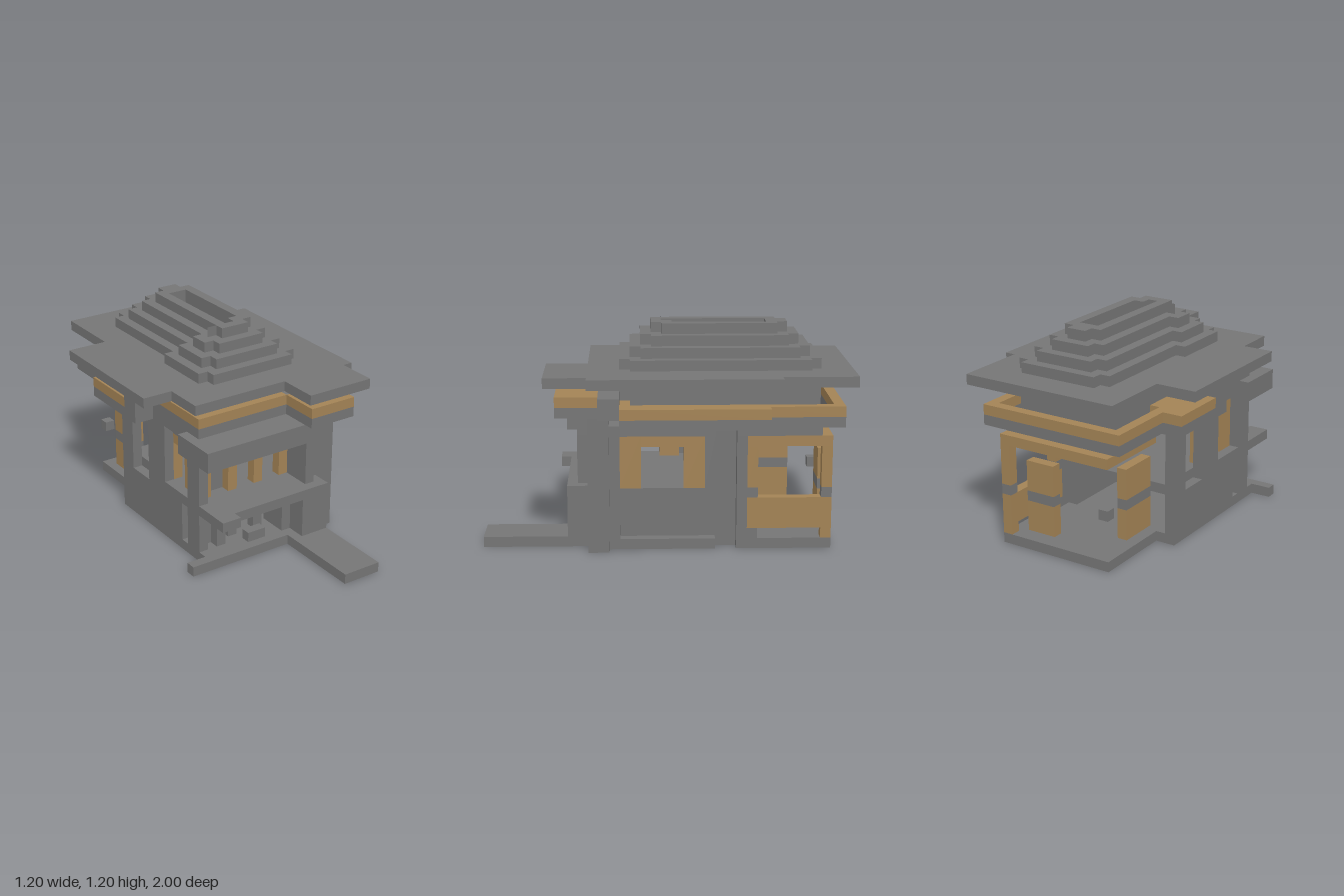
import * as THREE from 'three';

// Block grid: 21 wide (x), 21 high (y), 35 deep (z, back to front)
const U = 2 / 35;
const stone = new THREE.MeshStandardMaterial({ color: 0x757575 });
stone.name = 'stone grey';
const timber = new THREE.MeshStandardMaterial({ color: 0xa38355 });
timber.name = 'timber brown';

function part(parent, name) {
  const g = new THREE.Group();
  g.name = name;
  parent.add(g);
  return g;
}

// Box given by its grid limits
function box(g, name, mat, x0, x1, y0, y1, z0, z1) {
  const m = new THREE.Mesh(new THREE.BoxGeometry((x1 - x0) * U, (y1 - y0) * U, (z1 - z0) * U), mat);
  m.name = name;
  m.position.set(((x0 + x1) / 2 - 10.5) * U, ((y0 + y1) / 2) * U, ((z0 + z1) / 2 - 17.5) * U);
  g.add(m);
}

// Flat layer from a plan outline, with an optional hole (both listed clockwise from above)
function layer(g, name, mat, pts, y0, y1, hole) {
  const v = ([x, z]) => new THREE.Vector2((x - 10.5) * U, (17.5 - z) * U);
  const s = new THREE.Shape(pts.map(v));
  if (hole) s.holes.push(new THREE.Path(hole.map(v).reverse()));
  const geo = new THREE.ExtrudeGeometry(s, { depth: (y1 - y0) * U, bevelEnabled: false });
  geo.rotateX(-Math.PI / 2);
  const m = new THREE.Mesh(geo, mat);
  m.name = name;
  m.position.y = y0 * U;
  g.add(m);
}

const rect = (x0, x1, z0, z1) => [[x0, z0], [x1, z0], [x1, z1], [x0, z1]];

// Notched outline of the crown, shrunk by m blocks
const crown = (m) => [[8 + m, 3 + m], [16 - m, 3 + m], [16 - m, 4 + m], [17 - m, 4 + m],
  [17 - m, 21 - m], [16 - m, 21 - m], [16 - m, 22 - m], [7 + m, 22 - m], [7 + m, 21 - m],
  [6 + m, 21 - m], [6 + m, 15 + m], [7 + m, 15 + m], [7 + m, 4 + m], [8 + m, 4 + m]];

// Timber piece with a stone band at sill height
function banded(g, name, x0, x1, y0, y1, z0, z1) {
  box(g, name, timber, x0, x1, y0, 5, z0, z1);
  box(g, name + 'Band', stone, x0, x1, 5, 6, z0, z1);
  box(g, name + 'Upper', timber, x0, x1, 6, y1, z0, z1);
}

export function createModel() {
  const model = new THREE.Group();
  model.name = 'house';

  // Ground slab and front path
  const base = part(model, 'base');
  layer(base, 'floor', stone, [[6, 2], [18, 2], [18, 11], [17, 11], [17, 13], [18, 13], [18, 23], [19, 23],
    [19, 25], [17, 25], [17, 35], [13, 35], [13, 26], [2, 26], [2, 25], [4, 25], [4, 10], [6, 10]], 0, 1);

  // Left wall with a tall slot, a doorway and an upper opening
  const left = part(model, 'leftWall');
  box(left, 'rearWall', stone, 4, 5, 1, 12, 10, 12);
  box(left, 'slotSill', stone, 4, 5, 1, 5, 12, 15);
  box(left, 'slotLintel', stone, 4, 5, 11, 12, 12, 15);
  box(left, 'middleWall', stone, 4, 5, 1, 12, 15, 18);
  box(left, 'lowerWall', stone, 4, 5, 1, 5, 18, 21);
  box(left, 'frontPost', stone, 4, 5, 1, 5, 22, 24);
  box(left, 'upperPost', stone, 4, 5, 6, 11, 22, 24);
  box(left, 'windowJambRear', timber, 5, 6, 6, 10, 16, 18);
  box(left, 'windowJambFront', timber, 5, 6, 6, 10, 20, 23);
  box(left, 'windowHead', timber, 5, 6, 10, 11, 16, 23);

  // Right wall: recessed panel, ledge, framed window and pillars
  const right = part(model, 'rightWall');
  box(right, 'lowerPanel', stone, 16, 17, 1, 5, 13, 22);
  box(right, 'ledge', stone, 17, 18, 5, 6, 13, 22);
  box(right, 'frontJamb', stone, 17, 18, 1, 12, 22, 23);
  box(right, 'windowJambRear', timber, 17, 18, 6, 11, 14, 16);
  box(right, 'windowJambFront', timber, 17, 18, 6, 11, 20, 22);
  box(right, 'windowHead', timber, 17, 18, 10, 11, 16, 20);
  box(right, 'windowSidePost', stone, 17, 18, 6, 11, 13, 14);
  box(right, 'recessedWall', stone, 16, 17, 1, 12, 11, 13);
  box(right, 'rearJamb', stone, 17, 18, 1, 11, 10, 11);
  box(right, 'cornerTower', stone, 17, 19, 1, 13, 23, 25);

  // Front wall, lower floor
  const front = part(model, 'frontWall');
  for (const x of [5, 8, 11]) box(front, 'lowerPost', stone, x, x + 1, 1, 5, 22, 23);
  box(front, 'shortPost', stone, 6, 7, 1, 4, 23, 24);
  box(front, 'shortLintel', stone, 6, 7, 4, 5, 21, 22);
  box(front, 'lowWall', stone, 9, 11, 1, 2, 24, 25);
  box(front, 'lowerWall', stone, 13, 17, 1, 5, 22, 25);
  box(front, 'entranceBlock', stone, 14, 17, 1, 5, 25, 27);

  // Front wall, upper floor
  for (const x of [8, 11, 14]) box(front, 'upperPost', timber, x, x + 1, 6, x === 8 ? 10 : 11, 22, 23);
  box(front, 'leftHead', timber, 6, 9, 10, 11, 22, 23);
  box(front, 'shutter', stone, 6, 8, 6, 10, 21, 22);
  box(front, 'middleHead', stone, 9, 11, 10, 11, 22, 23);
  box(front, 'rightHead', stone, 12, 14, 10, 11, 22, 23);
  box(front, 'upperColumn', stone, 15, 17, 7, 11, 23, 26);
  box(front, 'columnFoot', stone, 15, 16, 6, 7, 23, 26);
  box(front, 'columnFootSide', stone, 16, 17, 6, 7, 23, 25);

  // Upper floor and balcony with a bump at its left corner
  const balcony = part(model, 'upperFloor');
  layer(balcony, 'upperFloorSlab', stone, [[5, 10], [17, 10], [17, 27], [6, 27], [6, 28], [4, 28], [4, 18], [5, 18]], 5, 6);

  // Rear veranda
  const veranda = part(model, 'veranda');
  box(veranda, 'cornerPostFoot', timber, 17, 18, 1, 2, 2, 3);
  banded(veranda, 'cornerPost', 17, 18, 2, 10, 2, 3);
  box(veranda, 'sidePanel', timber, 17, 18, 2, 5, 3, 10);
  box(veranda, 'sidePostFoot', stone, 17, 18, 1, 2, 9, 10);
  box(veranda, 'sidePostBand', stone, 17, 18, 5, 6, 9, 10);
  box(veranda, 'sidePost', timber, 17, 18, 6, 10, 9, 10);
  banded(veranda, 'rearPanel', 12, 15, 2, 9, 2, 3);
  banded(veranda, 'leftPanel', 6, 7, 2, 9, 5, 9);
  box(veranda, 'looseBlock', stone, 6, 7, 5, 6, 2, 3);
  box(veranda, 'rearBeam', timber, 6, 18, 10, 11, 2, 3);
  for (const x of [6, 17]) box(veranda, 'sideBeam', timber, x, x + 1, 10, 11, 3, 10);

  // Eaves: an open ring, stone below and timber above
  const eaves = part(model, 'eaves');
  layer(eaves, 'wallBeam', stone, [[6, 3], [18, 3], [18, 11], [17, 11], [17, 13], [18, 13], [18, 23], [5, 23],
    [5, 10], [6, 10]], 11, 12, rect(8, 16, 5, 21));
  const ring = [[4, 1], [19, 1], [19, 8], [20, 8], [20, 22], [5, 22], [5, 14], [2, 14], [2, 8], [4, 8]];
  const opening = [[5, 2], [18, 2], [18, 21], [6, 21], [6, 9], [5, 9]];
  layer(eaves, 'lowerEave', stone, ring, 12, 13, opening);
  layer(eaves, 'upperEave', timber, ring, 13, 14, opening);
  box(eaves, 'leftEaveEnd', stone, 2, 4, 12, 15, 14, 16);
  box(eaves, 'rightEaveEnd', stone, 19, 20, 13, 15, 22, 24);
  box(eaves, 'leftBandBase', stone, 4, 5, 12, 14, 14, 22);
  box(eaves, 'leftBand', timber, 4, 5, 14, 15, 14, 22);
  box(eaves, 'porchRoof', stone, 3, 15, 11, 13, 22, 27);
  box(eaves, 'porchRoofRight', stone, 15, 17, 11, 13, 23, 26);
  box(eaves, 'frontBandBase', stone, 4, 14, 13, 14, 22, 24);
  box(eaves, 'frontBand', timber, 4, 14, 14, 15, 22, 24);
  box(eaves, 'entranceBandBase', stone, 14, 19, 13, 14, 22, 28);
  box(eaves, 'entranceBand', timber, 14, 19, 14, 15, 24, 28);
  box(eaves, 'entranceBandRear', stone, 14, 19, 14, 15, 22, 24);

  // Attic, wide roof slab and stepped crown with an open top
  const roof = part(model, 'roof');
  layer(roof, 'attic', stone, crown(0), 12, 16, rect(8, 15, 5, 20));
  layer(roof, 'roofSlab', stone, [[4, 0], [20, 0], [20, 7], [21, 7], [21, 25], [20, 25], [20, 29],
    [13, 29], [13, 25], [3, 25], [3, 21], [0, 21], [0, 7], [4, 7]], 16, 17);
  const well = [[11, 8], [13, 8], [13, 17], [12, 17], [12, 18], [11, 18]];
  for (let m = 0; m < 4; m++) layer(roof, 'roofStep', stone, crown(m), 17 + m, 18 + m, well);
  return model;
}
